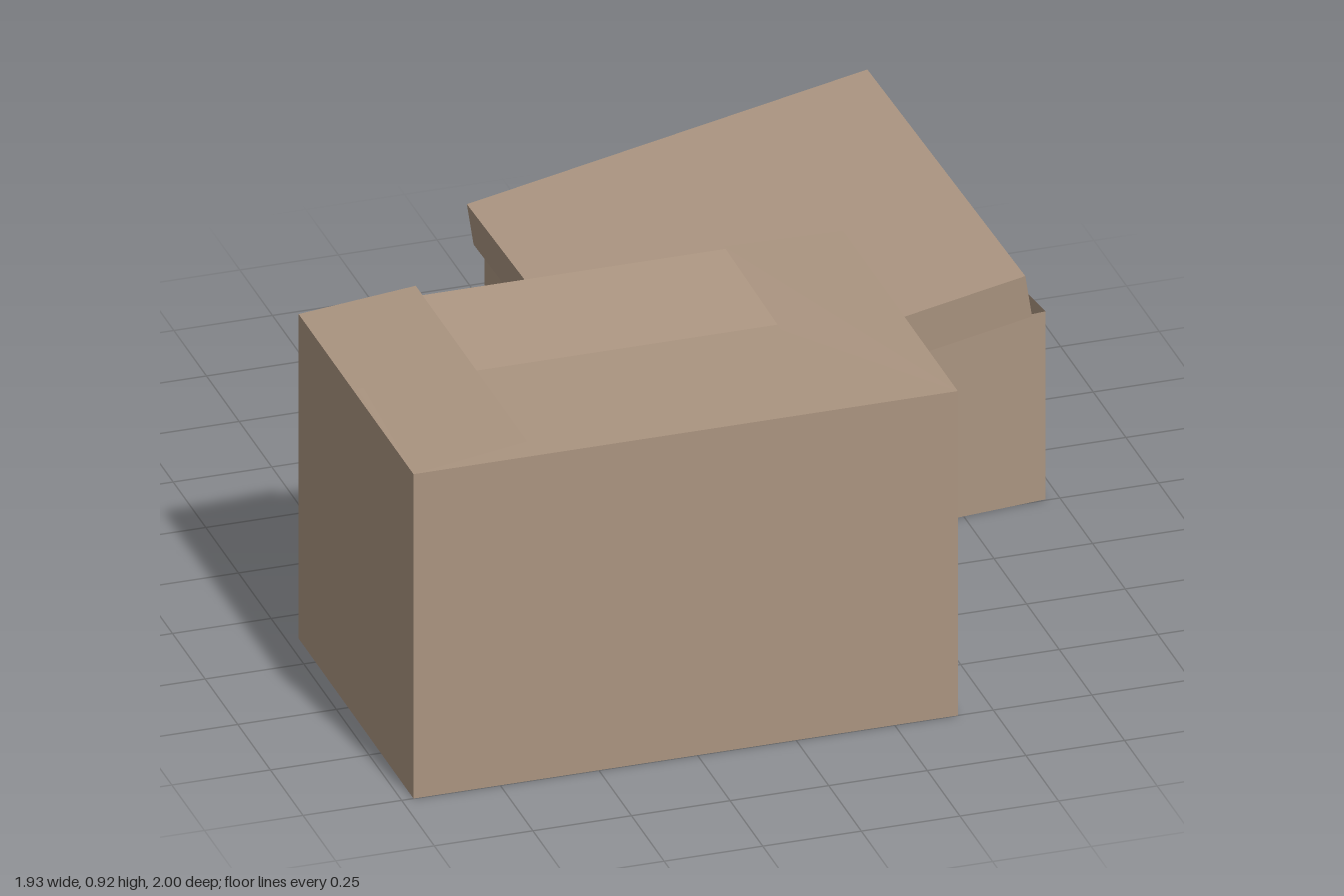
import * as THREE from 'three';

const cardboard = new THREE.MeshStandardMaterial({ color: 0xaa9480, side: THREE.DoubleSide, flatShading: true });
cardboard.name = 'cardboard';

// Thin-walled box with one of its six faces left out (2 = top, 3 = bottom)
function openBox(name, w, h, d, openFace) {
  const geo = new THREE.BoxGeometry(w, h, d);
  const index = Array.from(geo.index.array);
  index.splice(openFace * 6, 6);
  geo.setIndex(index);
  geo.clearGroups();
  const mesh = new THREE.Mesh(geo, cardboard);
  mesh.name = name;
  return mesh;
}

// Four-cornered sheet, corners counter-clockwise seen from above
function flap(name, ...corners) {
  const geo = new THREE.BufferGeometry();
  geo.setAttribute('position', new THREE.Float32BufferAttribute(corners.flat(), 3));
  geo.setIndex([0, 1, 2, 0, 2, 3]);
  geo.computeVertexNormals();
  const mesh = new THREE.Mesh(geo, cardboard);
  mesh.name = name;
  return mesh;
}

export function createModel() {
  const model = new THREE.Group();
  model.name = 'cardboardBoxes';

  // Large carton with four top flaps
  const carton = new THREE.Group();
  carton.name = 'largeCarton';
  const x0 = -0.97, x1 = 0.41, z0 = 0.12, z1 = 1, top = 0.88;
  const body = openBox('cartonBody', x1 - x0, top, z1 - z0, 2);
  body.position.set((x0 + x1) / 2, top / 2, (z0 + z1) / 2);
  carton.add(
    body,
    flap('frontFlap', [x0, top, z1], [x1, top, z1], [x1 - 0.01, 0.883, 0.54], [x0 + 0.01, 0.883, 0.54]),
    flap('backFlap', [x1, top, z0], [x0, top, z0], [x0 + 0.01, 0.81, 0.537], [x1 - 0.01, 0.81, 0.537]),
    flap('rightFlap', [x0, top, z0], [x0, top, z1], [-0.677, 0.915, 0.988], [-0.677, 0.915, 0.132]),
    flap('leftFlap', [x1, top, z1], [x1, top, z0], [0.105, 0.893, 0.132], [0.105, 0.873, 0.988])
  );

  // Small box, open at the top
  const small = new THREE.Group();
  small.name = 'smallBox';
  const base = openBox('smallBoxBody', 1.03, 0.51, 1, 2);
  base.position.set(0.4, 0.255, -0.4475);
  base.rotation.y = 0.105;

  // Tilted lid lying loosely on the small box
  const lid = openBox('smallBoxLid', 1.046, 0.118, 1.047, 3);
  const u = new THREE.Vector3(1.03, 0.175, -0.045).normalize();
  const up = new THREE.Vector3(0.05, -0.055, 1.045).cross(u).normalize();
  const v = new THREE.Vector3().crossVectors(u, up);
  lid.quaternion.setFromRotationMatrix(new THREE.Matrix4().makeBasis(u, up, v));
  lid.position.set(0.34, 0.605, -0.41).addScaledVector(up, -0.059);
  small.add(base, lid);

  model.add(carton, small);
  return model;
}
